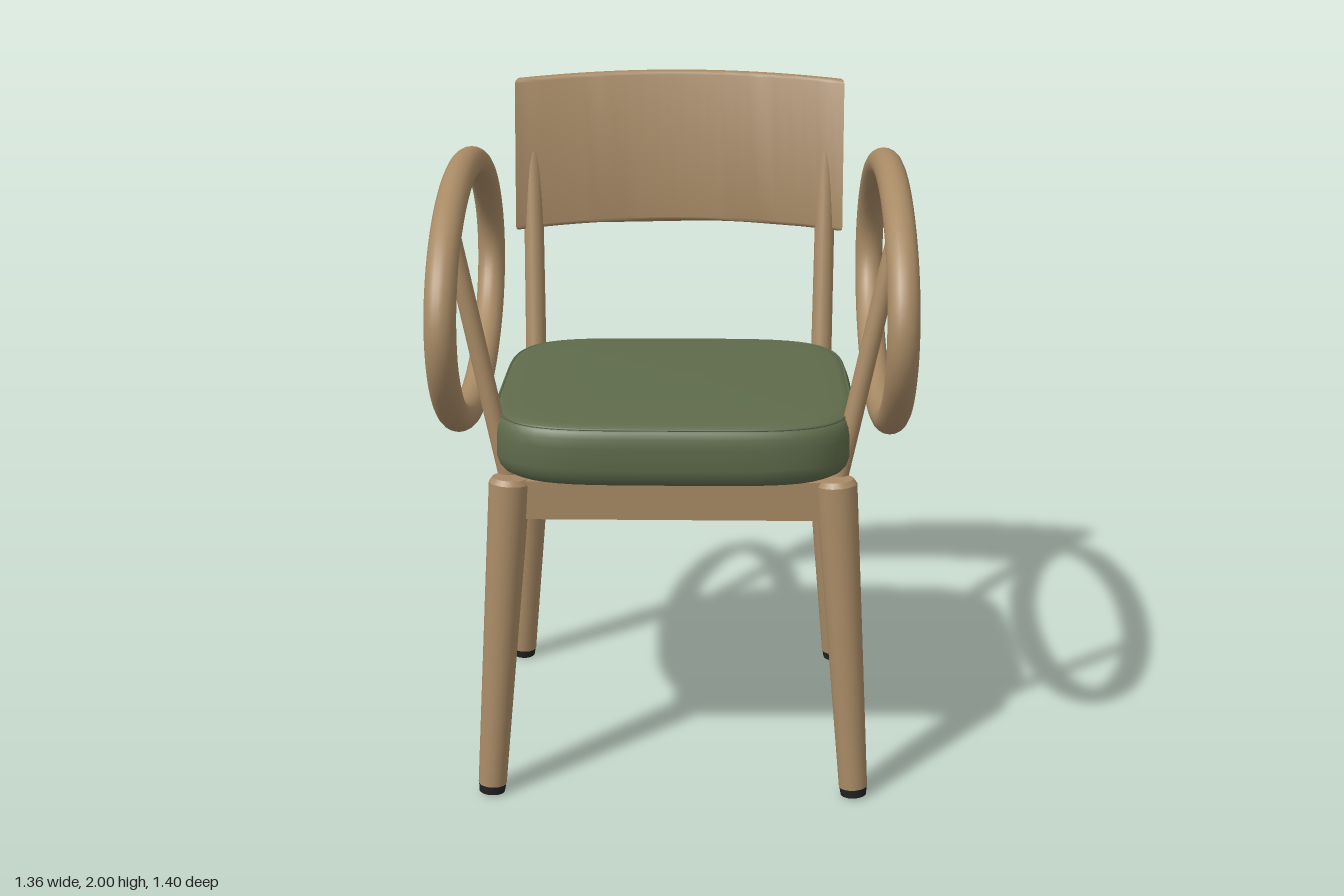
import * as THREE from 'three';
import { mergeVertices, toCreasedNormals } from 'three/addons/utils/BufferGeometryUtils.js';

const wood = new THREE.MeshStandardMaterial({ color: 0xa88a65 });
wood.name = 'wood';
const fabric = new THREE.MeshStandardMaterial({ color: 0x5f6b4b });
fabric.name = 'green fabric';
const rubber = new THREE.MeshStandardMaterial({ color: 0x222222 });
rubber.name = 'dark rubber';

const UP = new THREE.Vector3(0, 1, 0);
const SEAT = { x: 0.54, z: 0.525, centerZ: 0.07, power: 4.6 };

function add(parent, name, geometry, material) {
  const mesh = new THREE.Mesh(geometry, material);
  mesh.name = name;
  parent.add(mesh);
  return mesh;
}

// Round tapered rod between two points
function rod(parent, name, from, to, r0, r1, material = wood) {
  const a = new THREE.Vector3(...from), b = new THREE.Vector3(...to);
  const dir = b.clone().sub(a);
  const mesh = add(parent, name, new THREE.CylinderGeometry(r1, r0, dir.length(), 24), material);
  mesh.position.copy(a).add(b).multiplyScalar(0.5);
  mesh.quaternion.setFromUnitVectors(UP, dir.normalize());
  return mesh;
}

// Rounded-square seat outline, scaled by s
function seatPoint(angle, s, y) {
  const c = Math.cos(angle), d = Math.sin(angle), n = SEAT.power;
  const k = s * Math.pow(Math.abs(c) ** n + Math.abs(d) ** n, -1 / n);
  return new THREE.Vector3(SEAT.x * k * c, y, SEAT.centerZ + SEAT.z * k * d);
}

function cushionGeometry() {
  const profile = [
    [0, 0.97], [0.5, 0.97], [0.88, 0.97], [0.93, 0.973], [0.965, 0.985], [0.988, 1.003], [1, 1.03],
    [1, 1.09], [0.992, 1.118], [0.978, 1.136], [0.955, 1.147], [0.92, 1.153],
    [0.8, 1.157], [0.5, 1.16], [0, 1.161],
  ].map(([r, y]) => new THREE.Vector2(r, y));
  let geo = new THREE.LatheGeometry(profile, 96);
  const pos = geo.attributes.position;
  for (let i = 0; i < pos.count; i++) {
    const x = pos.getX(i), z = pos.getZ(i);
    const p = seatPoint(Math.atan2(z, x), Math.hypot(x, z), pos.getY(i));
    pos.setXYZ(i, p.x, p.y, p.z);
  }
  geo.deleteAttribute('uv');
  geo.deleteAttribute('normal');
  geo = mergeVertices(geo, 1e-5);
  geo.computeVertexNormals();
  return geo;
}

// Bowed board: arc-shaped plan, extruded upward, leaned back and crowned
function backrestGeometry() {
  const half = 0.53, bow = 0.075, front = 0.465, thick = 0.047, steps = 24;
  const plan = [];
  for (let side = 0; side < 2; side++) {
    for (let i = 0; i <= steps; i++) {
      const t = (i / steps) * 2 - 1;
      const x = side ? -t : t;
      plan.push(new THREE.Vector2(x * half, front + side * thick + bow * (1 - x * x)));
    }
  }
  const bevel = 0.012;
  const geo = new THREE.ExtrudeGeometry(new THREE.Shape(plan), {
    depth: 0.48 - 2 * bevel, bevelThickness: bevel, bevelSize: bevel, bevelOffset: -bevel, bevelSegments: 3,
  });
  geo.rotateX(-Math.PI / 2);
  const pos = geo.attributes.position;
  for (let i = 0; i < pos.count; i++) {
    const rise = pos.getY(i) + bevel, x = pos.getX(i) / half;
    pos.setY(i, 1.5 + rise + 0.02 * (1 - x * x));
    pos.setZ(i, pos.getZ(i) - 0.14 * rise);
  }
  return toCreasedNormals(geo, 0.6);
}

// Upright oval armrest loop
class Oval extends THREE.Curve {
  getPoint(t, target = new THREE.Vector3()) {
    const a = t * Math.PI * 2;
    return target.set(0, 1.423 + 0.367 * Math.sin(a), 0.655 * Math.cos(a));
  }
}

export function createModel() {
  const chair = new THREE.Group();
  chair.name = 'armchair';

  // Seat cushion with a fine seam along the top edge
  add(chair, 'seatCushion', cushionGeometry(), fabric);
  const seam = [];
  for (let i = 0; i < 64; i++) seam.push(seatPoint((i / 64) * Math.PI * 2, 0.966, 1.143));
  add(chair, 'seatSeam', new THREE.TubeGeometry(new THREE.CatmullRomCurve3(seam, true), 128, 0.004, 6, true), fabric);

  // Front and back rails
  for (const [name, z] of [['frontRail', 0.475], ['backRail', -0.415]]) {
    add(chair, name, new THREE.BoxGeometry(0.9, 0.115, 0.06), wood).position.set(0, 0.908, z);
  }

  add(chair, 'backrest', backrestGeometry(), wood);

  const ovalGeo = new THREE.TubeGeometry(new Oval(), 96, 0.045, 20, true);
  for (const [side, s] of [['left', 1], ['right', -1]]) {
    const half = new THREE.Group();
    half.name = side + 'Side';
    chair.add(half);

    add(half, 'sideRail', new THREE.BoxGeometry(0.06, 0.115, 0.86), wood).position.set(s * 0.465, 0.908, 0.03);

    // Splayed legs with dark feet and softened tops
    for (const [end, zTop, zFoot] of [['front', 0.48, 0.54], ['back', -0.415, -0.487]]) {
      const at = (y) => {
        const t = y / 0.97;
        return [s * (0.54 - 0.07 * t), y, zFoot + (zTop - zFoot) * t];
      };
      rod(half, end + 'Foot', at(0.002), at(0.028), 0.038, 0.041, rubber);
      rod(half, end + 'Leg', at(0.028), at(0.955), 0.042, 0.06);
      rod(half, end + 'LegCap', at(0.955), at(0.97), 0.06, 0.05);
    }

    // Posts holding the armrest and the backrest
    rod(half, 'armPost', [s * 0.478, 0.95, 0.435], [s * 0.635, 1.71, 0.413], 0.027, 0.027);
    rod(half, 'backPost', [s * 0.465, 0.93, -0.377], [s * 0.48, 1.92, -0.58], 0.034, 0.03);

    add(half, 'armrestLoop', ovalGeo, wood).position.x = s * 0.633;
  }
  return chair;
}
